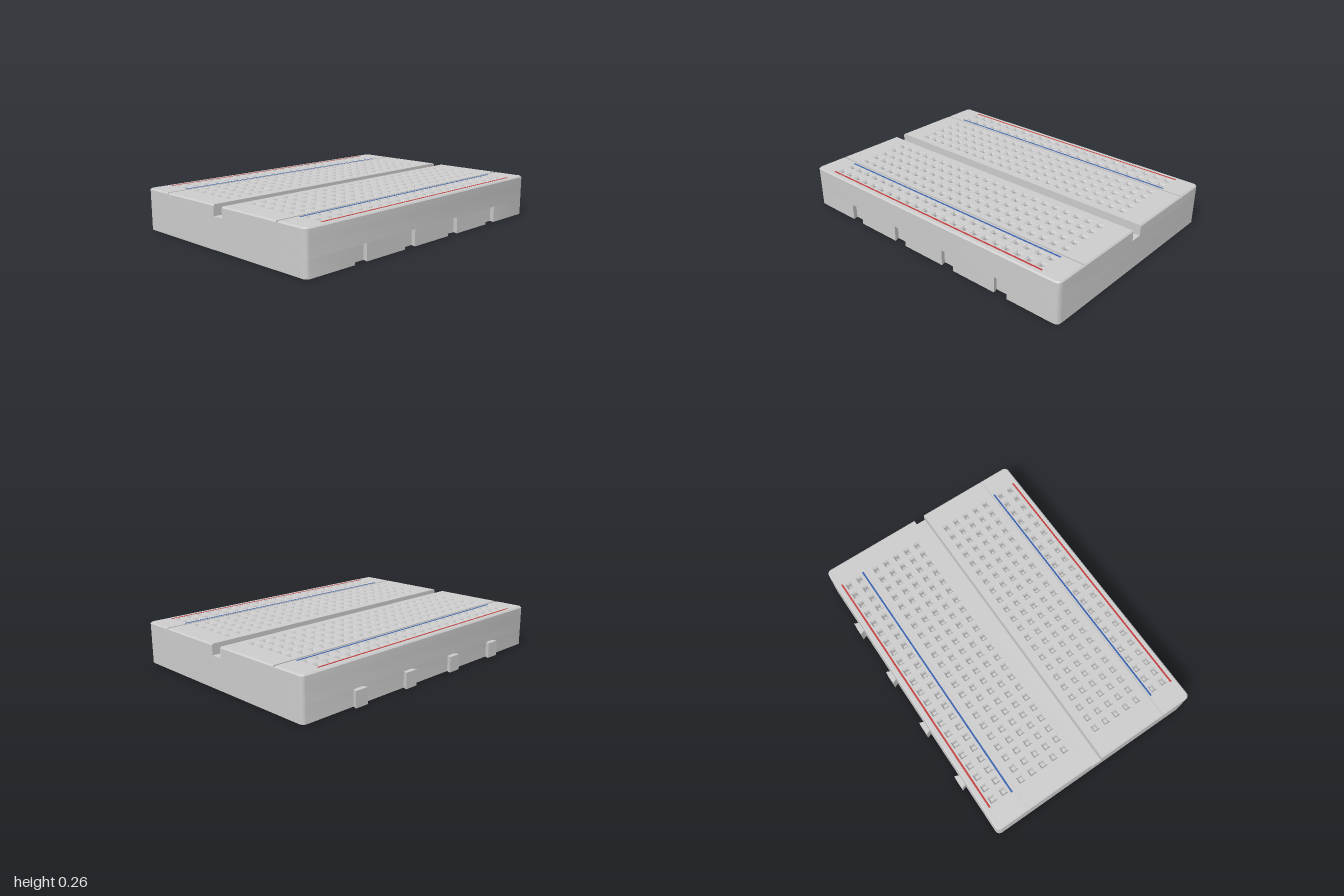
import * as THREE from 'three';
import { mergeGeometries, toCreasedNormals } from 'three/addons/utils/BufferGeometryUtils.js';

const TOP = 0.262, FLOOR = 0.195, CHAMFER = 0.008;
const HALF_DEPTH = 0.7145, HALF_CHANNEL = 0.038, CENTRE_Z = 0.0145;
const CORNER = 0.03, GROOVE = 0.499, GROOVE_W = 0.012;
const PITCH = 0.0788, COLUMNS = 22, HOLE = 0.022;
const CLIPS = [0, 1, 2, 3].map(k => -0.61 + k * 0.406);

const grey = new THREE.MeshStandardMaterial({ color: 0xcccccc });
const red = new THREE.MeshStandardMaterial({ color: 0xc23b3b });
const blue = new THREE.MeshStandardMaterial({ color: 0x3a62ad });

function add(parent, name, geometry, material = grey) {
  const mesh = new THREE.Mesh(geometry, material);
  mesh.name = name;
  parent.add(mesh);
  return mesh;
}

// Plan extruded upwards from y0 to y1 (plan y becomes -z)
function prism(points, y0, y1) {
  const g = new THREE.ExtrudeGeometry(new THREE.Shape(points), { depth: y1 - y0, bevelEnabled: false });
  g.rotateX(-Math.PI / 2).translate(0, y0, 0);
  return toCreasedNormals(g, 0.6);
}

// Points of a quarter-circle corner
function arc(cx, cy, r, start) {
  if (r <= 0) return [new THREE.Vector2(cx, cy)];
  return Array.from({ length: 7 }, (_, i) => {
    const a = start + (i / 6) * Math.PI / 2;
    return new THREE.Vector2(cx + r * Math.cos(a), cy + r * Math.sin(a));
  });
}

// Strip outline: straight inner edge, optionally rounded outer corners
function stripOutline(inner, outer, r, inset) {
  const x = 1 - inset, y = r ? outer - inset : outer, q = r ? r - inset : 0;
  return [
    new THREE.Vector2(-x, inner), new THREE.Vector2(x, inner),
    ...arc(x - q, y - q, q, 0), ...arc(-x + q, y - q, q, Math.PI / 2),
  ];
}

function holeCentres(rows) {
  return rows.flatMap(w => Array.from({ length: COLUMNS },
    (_, i) => [(i - (COLUMNS - 1) / 2) * PITCH, w]));
}

// Raised strip with chamfered rim and a top face pierced by square holes
function strip(inner, outer, r, rows) {
  const levels = [[0, FLOOR], [0, TOP - CHAMFER], [CHAMFER, TOP]];
  const rings = levels.map(([inset]) => stripOutline(inner, outer, r, inset));
  const n = rings[0].length, pos = [], index = [];
  rings.forEach((ring, k) => ring.forEach(p => pos.push(p.x, p.y, levels[k][1])));
  for (let k = 0; k < 2; k++) {
    for (let i = 0; i < n; i++) {
      const a = k * n + i, b = k * n + (i + 1) % n;
      index.push(a, b, b + n, a, b + n, a + n);
    }
  }
  const wall = new THREE.BufferGeometry();
  wall.setAttribute('position', new THREE.Float32BufferAttribute(pos, 3));
  wall.setIndex(index);

  const shape = new THREE.Shape(rings[2]);
  for (const [x, y] of holeCentres(rows)) {
    shape.holes.push(new THREE.Path([[-1, -1], [-1, 1], [1, 1], [1, -1]]
      .map(([u, v]) => new THREE.Vector2(x + u * HOLE, y + v * HOLE))));
  }
  const cap = new THREE.ShapeGeometry(shape).translate(0, 0, TOP);
  cap.deleteAttribute('uv');
  cap.deleteAttribute('normal');
  const merged = mergeGeometries([wall, cap]).rotateX(-Math.PI / 2);
  return toCreasedNormals(merged, 0.5);
}

// Funnel-mouthed square sockets, closed at the bottom
function sockets(rows) {
  const d = Math.SQRT2, throat = 0.014;
  const profile = [[HOLE, 0], [throat, -0.012], [throat, -0.05], [0, -0.05]]
    .map(([r, y]) => new THREE.Vector2(r * d, y));
  let one = new THREE.LatheGeometry(profile, 4).rotateY(Math.PI / 4).toNonIndexed();
  one.computeVertexNormals();
  return mergeGeometries(holeCentres(rows).map(([x, w]) => one.clone().translate(x, TOP, -w)));
}

function stripe(parent, name, w, material) {
  const g = new THREE.BoxGeometry(1.724, 0.002, 0.011).translate(0, TOP, -w);
  add(parent, name, g, material);
}

// One half of the deck, lying towards -z
function deckHalf(name) {
  const half = new THREE.Group();
  half.name = name;
  const terminalRows = [0, 1, 2, 3, 4].map(k => 0.117 + k * PITCH);
  const railRows = [0.558, 0.637];
  add(half, 'terminalStrip', strip(HALF_CHANNEL, GROOVE - GROOVE_W / 2, 0, terminalRows));
  add(half, 'powerRail', strip(GROOVE + GROOVE_W / 2, HALF_DEPTH, CORNER, railRows));
  const grooveH = TOP - 0.01 - FLOOR;
  add(half, 'grooveFloor', new THREE.BoxGeometry(2, grooveH, GROOVE_W)
    .translate(0, FLOOR + grooveH / 2, -GROOVE));
  add(half, 'sockets', sockets([...terminalRows, ...railRows]));
  stripe(half, 'blueStripe', 0.52, blue);
  stripe(half, 'redStripe', 0.677, red);
  return half;
}

export function createModel() {
  const model = new THREE.Group();
  model.name = 'solderlessBoard';
  const board = new THREE.Group();
  board.name = 'board';
  board.position.z = CENTRE_Z;
  model.add(board);

  // Base plan, with or without dovetail slots along the front
  const basePlan = slotted => {
    const x = 1 - CORNER, y = HALF_DEPTH - CORNER, f = -HALF_DEPTH;
    const slots = slotted ? CLIPS.flatMap(c => [
      [c - 0.045, f], [c - 0.055, f + 0.033], [c + 0.055, f + 0.033], [c + 0.045, f],
    ].map(p => new THREE.Vector2(...p))) : [];
    return [
      ...arc(-x, -y, CORNER, Math.PI), ...slots, ...arc(x, -y, CORNER, -Math.PI / 2),
      ...arc(x, y, CORNER, 0), ...arc(-x, y, CORNER, Math.PI / 2),
    ];
  };
  add(board, 'lowerBase', prism(basePlan(true), 0, 0.102));
  add(board, 'upperBase', prism(basePlan(false), 0.102, FLOOR));

  // Dovetail clips along the back, wider at the outer end
  for (const c of CLIPS) {
    const b = HALF_DEPTH;
    const plan = [[c - 0.032, b - 0.005], [c + 0.032, b - 0.005], [c + 0.045, b + 0.029], [c - 0.045, b + 0.029]]
      .map(p => new THREE.Vector2(...p));
    add(board, 'clip', prism(plan, 0, 0.098));
  }

  const back = deckHalf('backDeck');
  const front = deckHalf('frontDeck');
  front.rotation.y = Math.PI;
  board.add(back, front);
  return model;
}
